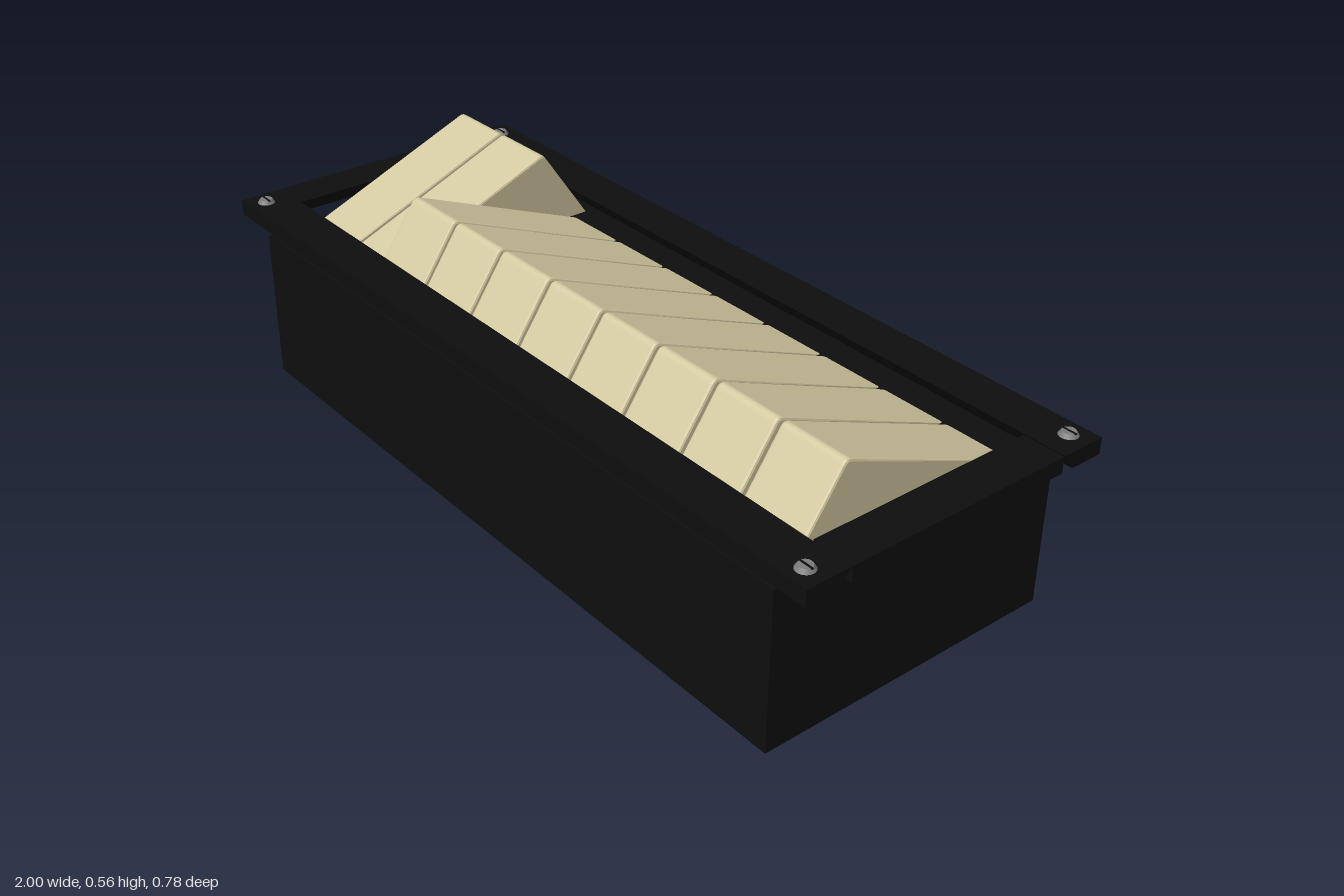
import * as THREE from 'three';

const black = new THREE.MeshStandardMaterial({ color: 0x0e0e0e });
black.name = 'black plastic';
const cream = new THREE.MeshStandardMaterial({ color: 0xd3c9a1 });
cream.name = 'cream plastic';
const grey = new THREE.MeshStandardMaterial({ color: 0x7c7c7c });
grey.name = 'screw metal';

// Extrude a shape drawn in (z, y) along x, centred on x = 0
function extrudeAlongX(shape, width, bevel) {
  const geo = new THREE.ExtrudeGeometry(shape, {
    depth: width - 2 * bevel,
    bevelEnabled: bevel > 0,
    bevelSize: bevel,
    bevelThickness: bevel,
    bevelOffset: -bevel,
    bevelSegments: 2,
    curveSegments: 5,
  });
  geo.translate(0, 0, -(width - 2 * bevel) / 2);
  geo.rotateY(-Math.PI / 2);
  return geo;
}

function addMesh(parent, name, geo, mat, x = 0, y = 0, z = 0) {
  const mesh = new THREE.Mesh(geo, mat);
  mesh.name = name;
  mesh.position.set(x, y, z);
  parent.add(mesh);
  return mesh;
}

// Bar cross-section with a sloping inner edge
function barShape(inner, outer, undercut) {
  return new THREE.Shape([
    new THREE.Vector2(inner + undercut, 0.402),
    new THREE.Vector2(outer, 0.402),
    new THREE.Vector2(outer, 0.44),
    new THREE.Vector2(inner, 0.44),
  ]);
}

export function createModel() {
  const model = new THREE.Group();
  model.name = 'rockerSwitchPanel';

  // Housing
  addMesh(model, 'housing', new THREE.BoxGeometry(1.812, 0.376, 0.75), black, 0, 0.188, 0);

  // Frame: long bars front and back, short bars between them
  const frame = new THREE.Group();
  frame.name = 'frame';
  model.add(frame);
  const longGeo = extrudeAlongX(barShape(0.282, 0.39, 0.027), 2, 0);
  const shortGeo = extrudeAlongX(barShape(0.9, 1, 0.025), 0.558, 0);
  for (const side of [0, 1]) {
    addMesh(frame, side ? 'backBar' : 'frontBar', longGeo, black).rotation.y = side * Math.PI;
    addMesh(frame, side ? 'rightBar' : 'leftBar', shortGeo, black).rotation.y = Math.PI / 2 + side * Math.PI;
  }

  // Rockers: wedges with a rounded ridge; the two on the right are tipped the other way
  const wedge = new THREE.Shape();
  wedge.moveTo(-0.311, 0.36);
  wedge.lineTo(0.326, 0.36);
  wedge.lineTo(0.195, 0.552);
  wedge.quadraticCurveTo(0.187, 0.564, 0.174, 0.558);
  wedge.closePath();
  const rockerGeo = extrudeAlongX(wedge, 0.168, 0.006);
  for (let i = 0; i < 10; i++) {
    const rocker = addMesh(model, 'rocker' + (i + 1), rockerGeo, cream, (i - 4.5) * 0.1773);
    if (i < 2) rocker.rotation.y = Math.PI;
  }

  // Corner screws: low head with a dark slot
  const headGeo = new THREE.CylinderGeometry(0.015, 0.021, 0.009, 20);
  const slotGeo = new THREE.BoxGeometry(0.036, 0.002, 0.005);
  for (const x of [-0.953, 0.953]) {
    for (const z of [-0.348, 0.348]) {
      const screw = new THREE.Group();
      screw.name = 'screw';
      screw.position.set(x, 0.44, z);
      addMesh(screw, 'screwHead', headGeo, grey, 0, 0.0045, 0);
      addMesh(screw, 'screwSlot', slotGeo, black, 0, 0.0085, 0);
      model.add(screw);
    }
  }
  return model;
}
